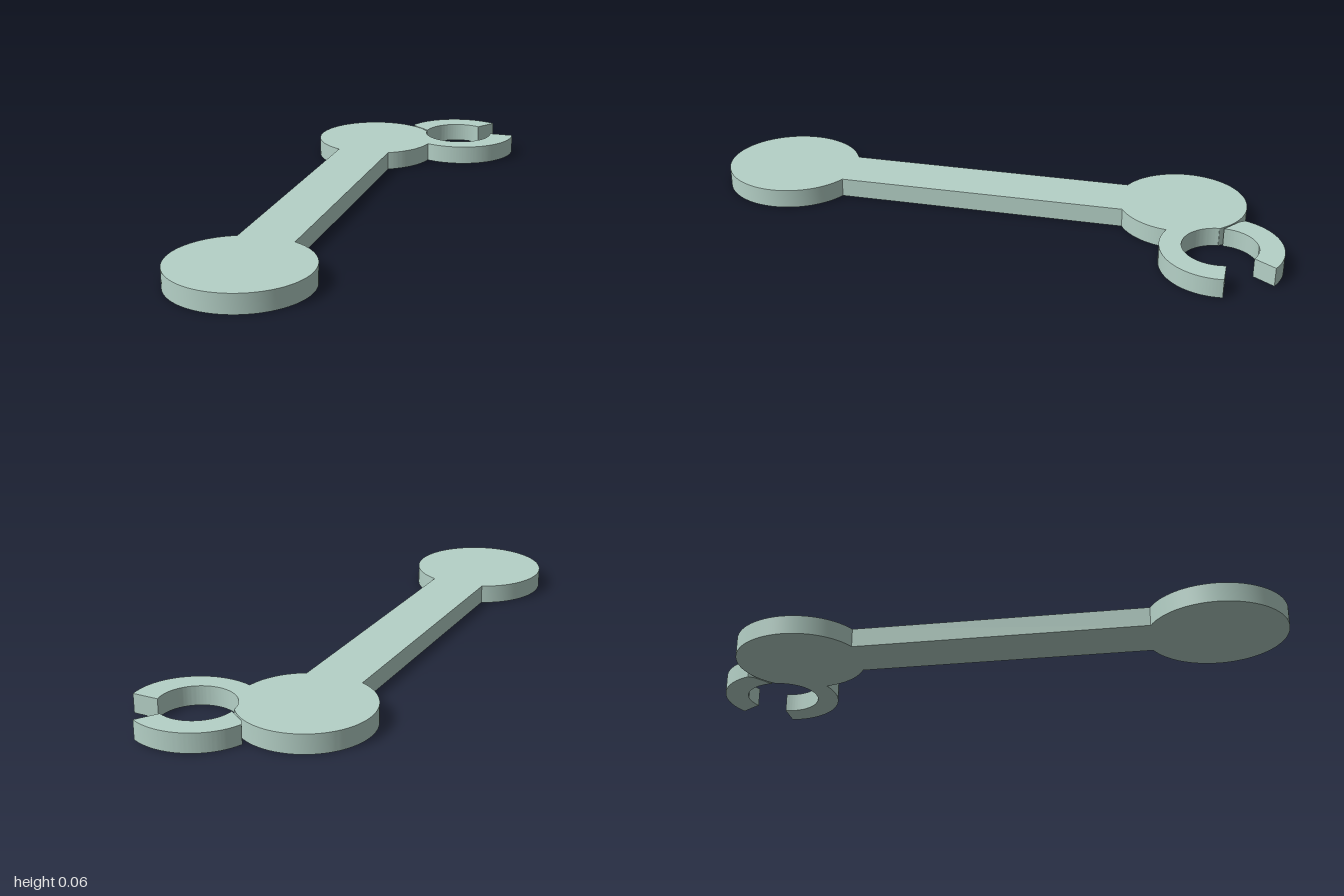
import * as THREE from 'three';
import { toCreasedNormals } from 'three/addons/utils/BufferGeometryUtils.js';

const THICKNESS = 0.065;
const rad = THREE.MathUtils.degToRad;

// Plan outlines are drawn with shape y = -z
const base = { x: -0.131, y: -0.766, rx: 0.233, ry: 0.233 };
const head = { x: -0.142, y: 0.641, rx: 0.219, ry: 0.219 };
const hookOuter = { x: 0.151, y: 0.7985, rx: 0.21, ry: 0.2015 };
const hookInner = { x: 0.149, y: 0.794, rx: 0.125, ry: 0.125 };
const stemLeft = -0.228, stemRight = -0.037;

// Adds an arc from angle a to b (degrees); runs clockwise when b < a
function arc(shape, c, a, b) {
  shape.absellipse(c.x, c.y, c.rx, c.ry, rad(a), rad(b), b < a, 0);
}

// Angle from the vertical at which a disc meets the stem edge x
const stemAngle = (c, x) => THREE.MathUtils.radToDeg(Math.asin((x - c.x) / c.rx));

function createModel() {
  const group = new THREE.Group();
  const material = new THREE.MeshStandardMaterial({ color: 0xb5d1c7 });

  function addPlate(name, shape) {
    const flat = new THREE.ExtrudeGeometry(shape, { depth: THICKNESS, bevelEnabled: false, curveSegments: 40 });
    flat.rotateX(-Math.PI / 2);
    const mesh = new THREE.Mesh(toCreasedNormals(flat, rad(25)), material);
    mesh.name = name;
    group.add(mesh);
  }

  // Base disc, stem, head disc and the attached lower jaw as one outline
  const body = new THREE.Shape();
  arc(body, base, 90 - stemAngle(base, stemLeft), 450 - stemAngle(base, stemRight));
  arc(body, head, 270 + stemAngle(head, stemRight), 354);
  arc(body, hookOuter, 248.7, 367.2);
  arc(body, hookInner, 373.5, 186);
  arc(body, head, 40, 270 + stemAngle(head, stemLeft));
  body.closePath();
  addPlate('bodyWithLowerJaw', body);

  // Upper jaw, separated from the head by a thin slit
  const jaw = new THREE.Shape();
  arc(jaw, hookOuter, 61.6, 162);
  jaw.lineTo(-0.037, 0.842);
  arc(jaw, hookInner, 179, 63.5);
  jaw.closePath();
  addPlate('upperJaw', jaw);

  return group;
}

export { createModel };
